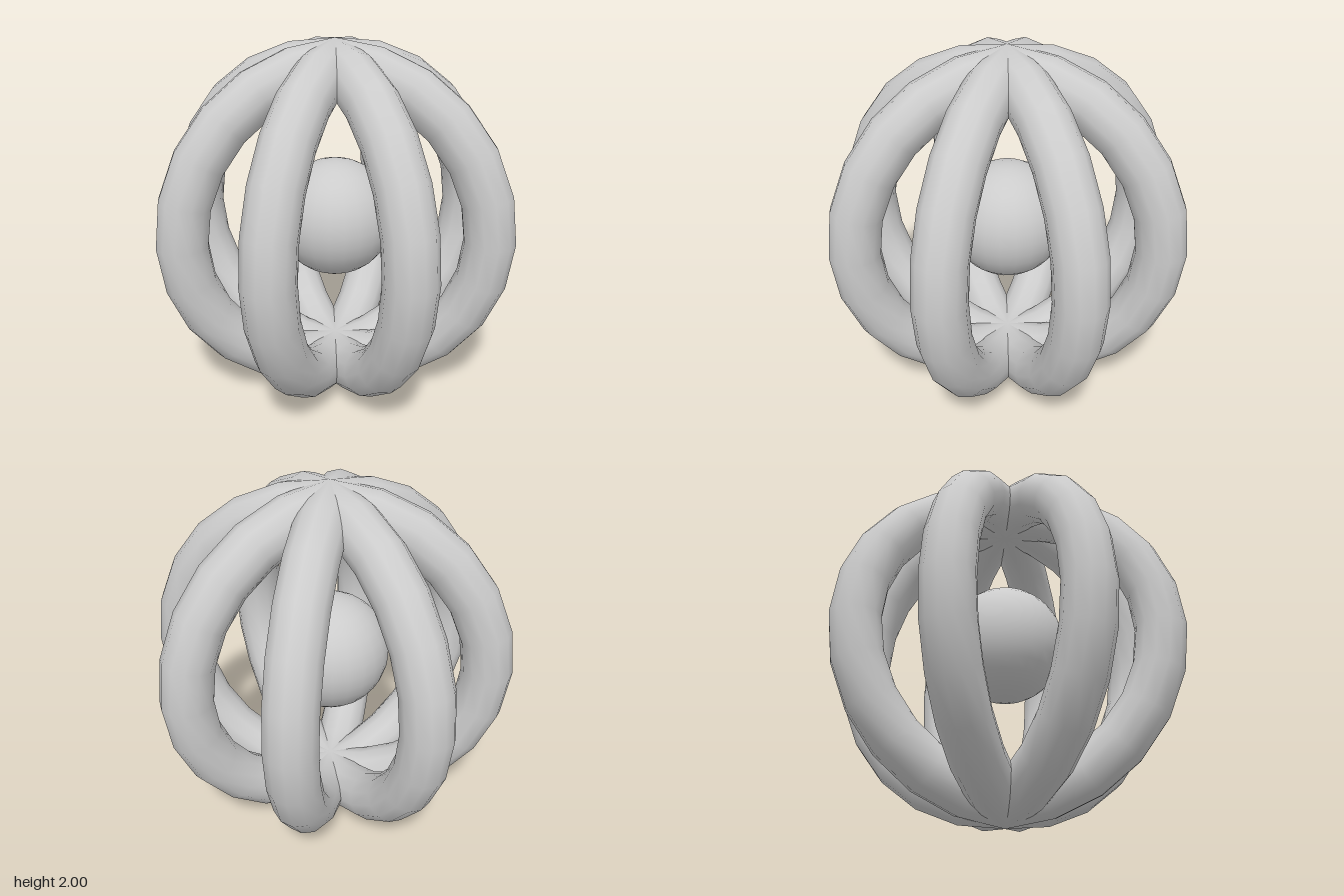
import * as THREE from 'three';

export function createModel() {
  const model = new THREE.Group();
  const material = new THREE.MeshStandardMaterial({ color: 0xcccccc });
  const tube = 0.137;

  // Four upright rings sharing the vertical axis, 45 degrees apart
  const ringGeometry = new THREE.TorusGeometry(1 - tube, tube, 12, 24);
  for (let i = 0; i < 4; i++) {
    const ring = new THREE.Mesh(ringGeometry, material);
    ring.name = `cageRing${i + 1}`;
    ring.position.y = 1;
    ring.rotation.y = (i * Math.PI) / 4;
    model.add(ring);
  }

  // Ball floating inside the cage
  const ball = new THREE.Mesh(new THREE.SphereGeometry(0.327, 24, 16), material);
  ball.name = 'coreBall';
  ball.position.y = 1.02;
  model.add(ball);

  return model;
}
